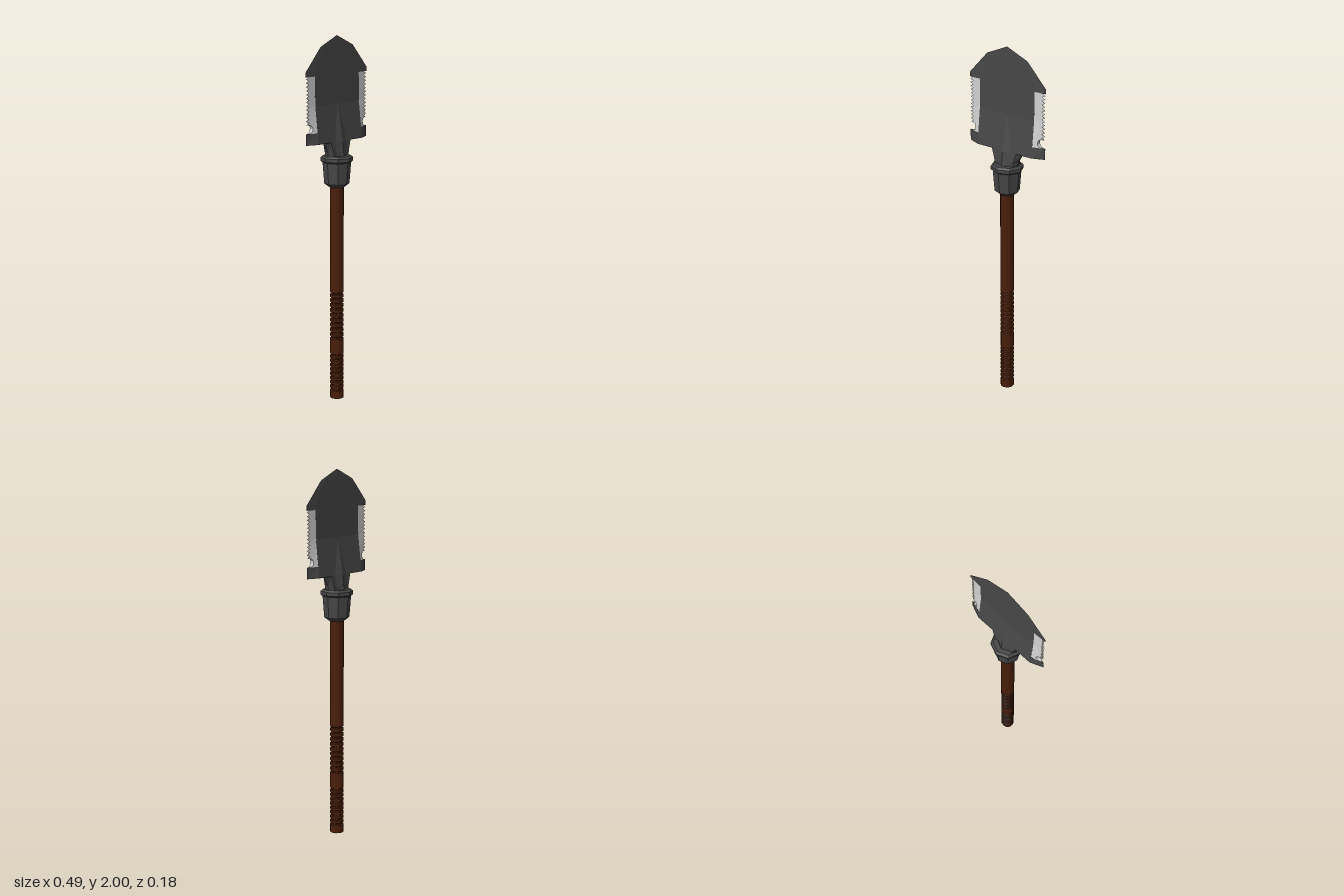
import * as THREE from 'three';

const material = (name, color) => {
  const m = new THREE.MeshStandardMaterial({ color, flatShading: true });
  m.name = name;
  return m;
};

// Skins a stack of rings; each ring is a list of [x, y, z] turning from +x towards +z.
function loft(rings) {
  const pos = [];
  const tri = (a, b, c) => pos.push(...a, ...b, ...c);
  const n = rings[0].length;
  for (let i = 0; i + 1 < rings.length; i++) {
    for (let j = 0; j < n; j++) {
      const k = (j + 1) % n;
      const [a, b] = [rings[i][j], rings[i][k]];
      const [c, d] = [rings[i + 1][j], rings[i + 1][k]];
      tri(a, c, b);
      tri(b, c, d);
    }
  }
  const first = rings[0], last = rings[rings.length - 1];
  for (let j = 0; j < n; j++) {
    const k = (j + 1) % n;
    tri([0, 1, 2].map(q => (first[0][q] + first[n >> 1][q]) / 2), first[j], first[k]);
    tri([0, 1, 2].map(q => (last[0][q] + last[n >> 1][q]) / 2), last[k], last[j]);
  }
  const g = new THREE.BufferGeometry();
  g.setAttribute('position', new THREE.Float32BufferAttribute(pos, 3));
  g.computeVertexNormals();
  return g;
}

const lathe = (points, sides) =>
  new THREE.LatheGeometry(points.map(([r, y]) => new THREE.Vector2(r, y)), sides);

// Half thickness of the blade by height
function thickness(y) {
  if (y < 1.64) return THREE.MathUtils.mapLinear(y, 1.44, 1.64, 0.028, 0.005);
  return THREE.MathUtils.mapLinear(y, 1.64, 2, 0.005, 0.001);
}

export function createModel() {
  const wood = material('dark wood', 0x4a1e09);
  const iron = material('dark iron', 0x474747);
  const steel = material('bright steel', 0xd2d2d2);
  const group = new THREE.Group();
  const add = (name, geometry, mat) => {
    const mesh = new THREE.Mesh(geometry, mat);
    mesh.name = name;
    group.add(mesh);
    return mesh;
  };

  // Handle with two ribbed grips
  const R = 0.038;
  const handle = [[0, 0], [R, 0]];
  for (const [low, high, count] of [[0.05, 0.25, 8], [0.35, 0.6, 9]]) {
    const step = (high - low) / count;
    for (let i = 0; i <= count; i++) {
      const y = low + i * step;
      handle.push([R, y - step * 0.25], [R - 0.007, y - step * 0.1],
        [R - 0.007, y + step * 0.1], [R, y + step * 0.25]);
    }
  }
  handle.push([R, 1.21], [0, 1.21]);
  add('handle', lathe(handle, 12), wood);

  // Eight-sided socket with a flange
  add('socket', lathe([[0, 1.19], [0.042, 1.19], [0.068, 1.21], [0.077, 1.325], [0.088, 1.333],
    [0.088, 1.352], [0.076, 1.362], [0, 1.362]], 8), iron);

  // Neck, blade and tip: y, half width, bevel start, ridge half width, half thickness, ridge height
  const T = thickness;
  const rows = [
    [1.35, 0.068, 0.06, 0.042, 0.03, 0.052],
    [1.385, 0.075, 0.062, 0.042, 0.032, 0.047],
    [1.44, 0.11, 0.08, 0.045, 0.028, 0.041],
    [1.44, 0.247, 0.178, 0.045, 0.028, 0.041],
    [1.5, 0.247, 0.178, 0.034, T(1.5), 0.031],
    [1.5, 0.178, 0.178, 0.034, T(1.5), 0.031],
    [1.64, 0.178, 0.178, 0.006, T(1.64), T(1.64)],
    [1.795, 0.178, 0.178, 0.006, T(1.795), T(1.795)],
    [1.795, 0.247, 0.178, 0.006, T(1.795), T(1.795)],
    [1.82, 0.247, 0.178, 0.006, T(1.82), T(1.82)],
    [1.945, 0.13, 0.1, 0.005, T(1.945), T(1.945)],
    [2, 0, 0, 0, 0, 0],
  ];
  add('blade', loft(rows.map(([y, w, i, r, t, c]) => [
    [w, y, 0], [i, y, t], [r, y, t], [0, y, c], [-r, y, t], [-i, y, t],
    [-w, y, 0], [-i, y, -t], [-r, y, -t], [0, y, -c], [r, y, -t], [i, y, -t],
  ])), iron);

  // Saw edge: round notch at the bottom, teeth above
  const edge = [];
  for (let i = 0; i <= 8; i++) {
    const a = -Math.PI / 2 + (i / 8) * Math.PI;
    edge.push([1.524 + 0.022 * Math.sin(a), 0.226 - 0.022 * Math.cos(a)]);
  }
  edge.unshift([1.5, 0.23]);
  edge.push([1.546, 0.241]);
  const teeth = 12, pitch = (1.795 - 1.556) / teeth;
  for (let i = 0; i < teeth; i++) {
    const y = 1.556 + i * pitch;
    edge.push([y, 0.225], [y + pitch * 0.5, 0.244]);
  }
  edge.push([1.795, 0.225]);
  const sawEdge = loft(edge.map(([y, x]) => {
    const t = T(y), outer = t * (0.247 - x) / (0.247 - 0.176);
    return [[x, y, outer], [0.176, y, t], [0.176, y, -t], [x, y, -outer]];
  }));
  add('leftSawEdge', sawEdge, steel);
  add('rightSawEdge', sawEdge, steel).scale.x = -1;

  return group;
}
